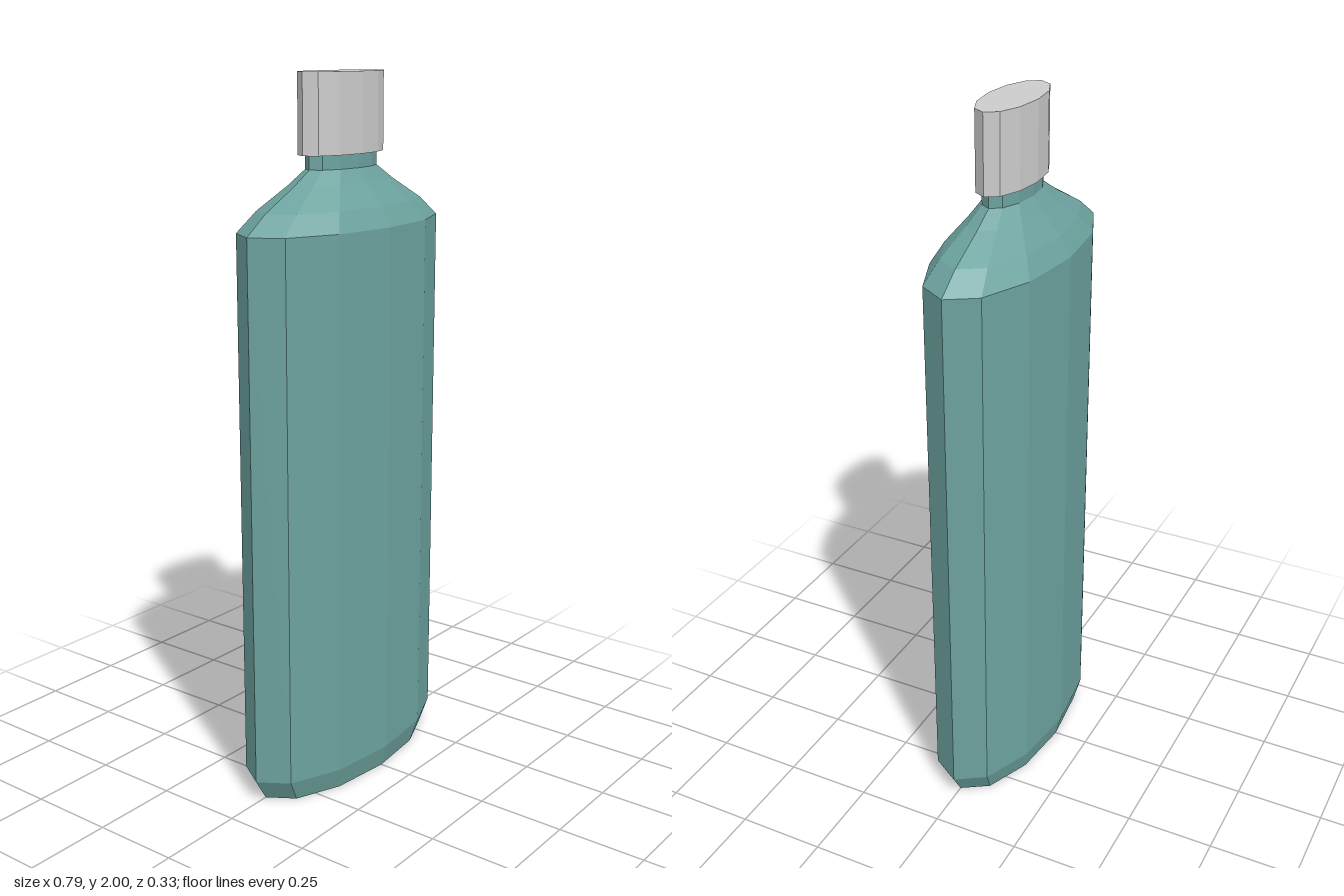
import * as THREE from 'three';

const SIDES = 12;
const FLATTEN = 0.42; // depth of the oval relative to its width

// Faceted oval solid turned from a [radius, height] profile, bottom to top
function ovalLathe(name, profile, color) {
  const points = profile.map(([r, y]) => new THREE.Vector2(r, y));
  const geometry = new THREE.LatheGeometry(points, SIDES);
  geometry.scale(1, 1, FLATTEN);
  const material = new THREE.MeshStandardMaterial({ color, flatShading: true });
  const mesh = new THREE.Mesh(geometry, material);
  mesh.name = name;
  return mesh;
}

export function createModel() {
  const group = new THREE.Group();
  group.name = 'flatBottle';

  // Body with bevelled base, sloping shoulders and neck
  group.add(ovalLathe('bottleBody', [
    [0, 0], [0.355, 0], [0.395, 0.065], [0.395, 1.595],
    [0.322, 1.648], [0.205, 1.708], [0.14, 1.747], [0.14, 1.8], [0, 1.8],
  ], 0x6ca29e));

  // Closed oval cap
  group.add(ovalLathe('cap', [
    [0, 1.785], [0.167, 1.785], [0.167, 2], [0, 2],
  ], 0xcccccc));

  return group;
}
